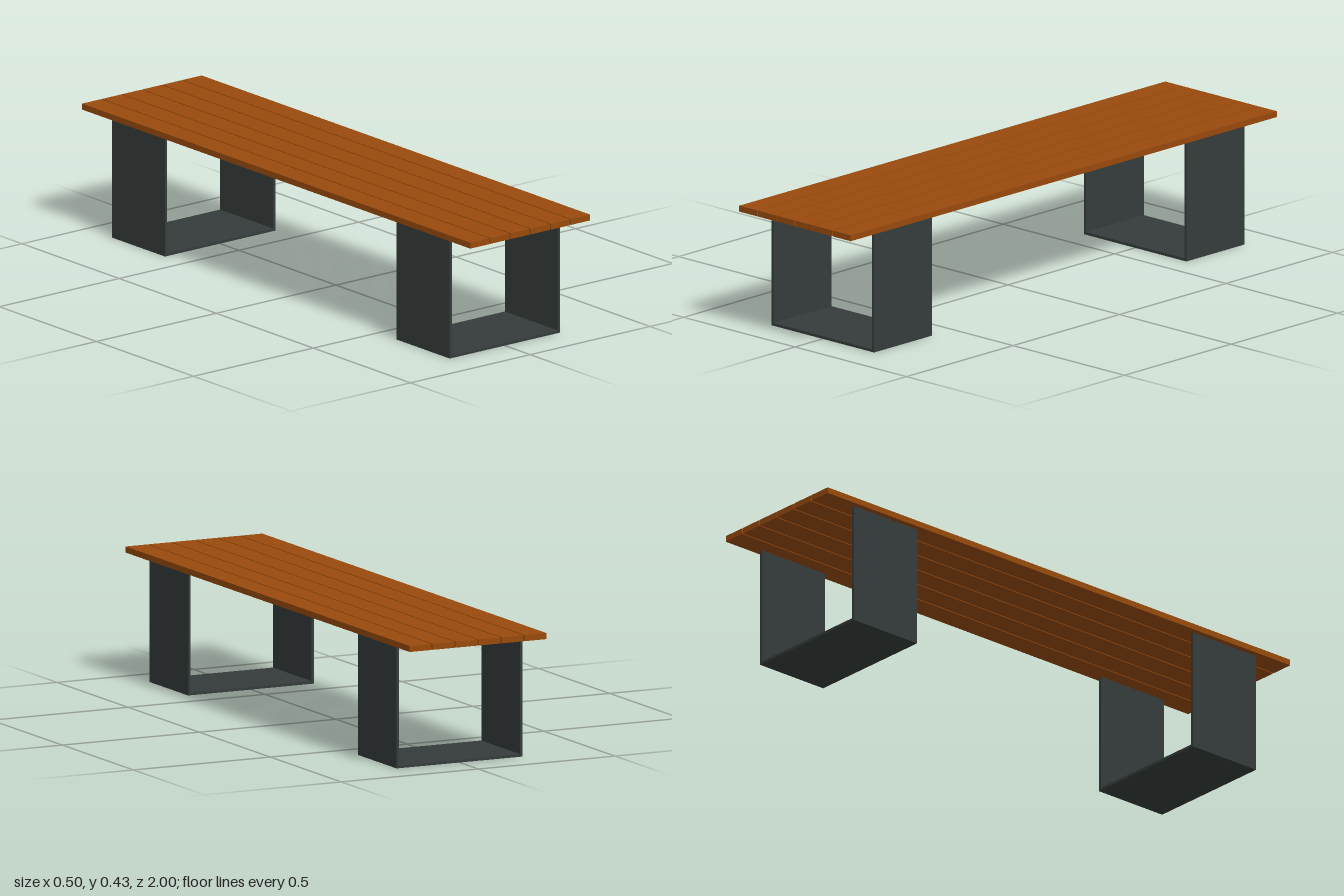
import * as THREE from 'three';

export function createModel() {
  const wood = new THREE.MeshStandardMaterial({ color: 0x994a0c });
  wood.name = 'wood';
  const steel = new THREE.MeshStandardMaterial({ color: 0x353c3b });
  steel.name = 'dark steel';

  const model = new THREE.Group();
  model.name = 'bench';

  // Adds a box given by its size and centre
  const addBox = (parent, name, material, size, centre) => {
    const mesh = new THREE.Mesh(new THREE.BoxGeometry(...size), material);
    mesh.name = name;
    mesh.position.set(...centre);
    parent.add(mesh);
  };

  // Six long slats with narrow gaps
  const seat = new THREE.Group();
  seat.name = 'seat';
  for (let i = 0; i < 6; i++) {
    addBox(seat, `slat${i + 1}`, wood, [0.08, 0.02, 2], [(i - 2.5) * 0.084, 0.417, 0]);
  }
  model.add(seat);

  // Flat-bar frames: floor plate, two uprights, and a crossbar let into the slats
  const halfWidth = 0.23, bar = 0.009, depth = 0.273, top = 0.421;
  for (const side of [1, -1]) {
    const frame = new THREE.Group();
    frame.name = side > 0 ? 'frontLegFrame' : 'backLegFrame';
    frame.position.z = side * 0.733;
    addBox(frame, 'floorPlate', steel, [2 * halfWidth, bar, depth], [0, bar / 2, 0]);
    addBox(frame, 'crossbar', steel, [2 * halfWidth, bar, depth], [0, top - bar / 2, 0]);
    for (const s of [1, -1]) {
      addBox(frame, s > 0 ? 'leftUpright' : 'rightUpright', steel,
        [bar, top - 2 * bar, depth], [s * (halfWidth - bar / 2), top / 2, 0]);
    }
    model.add(frame);
  }
  return model;
}
